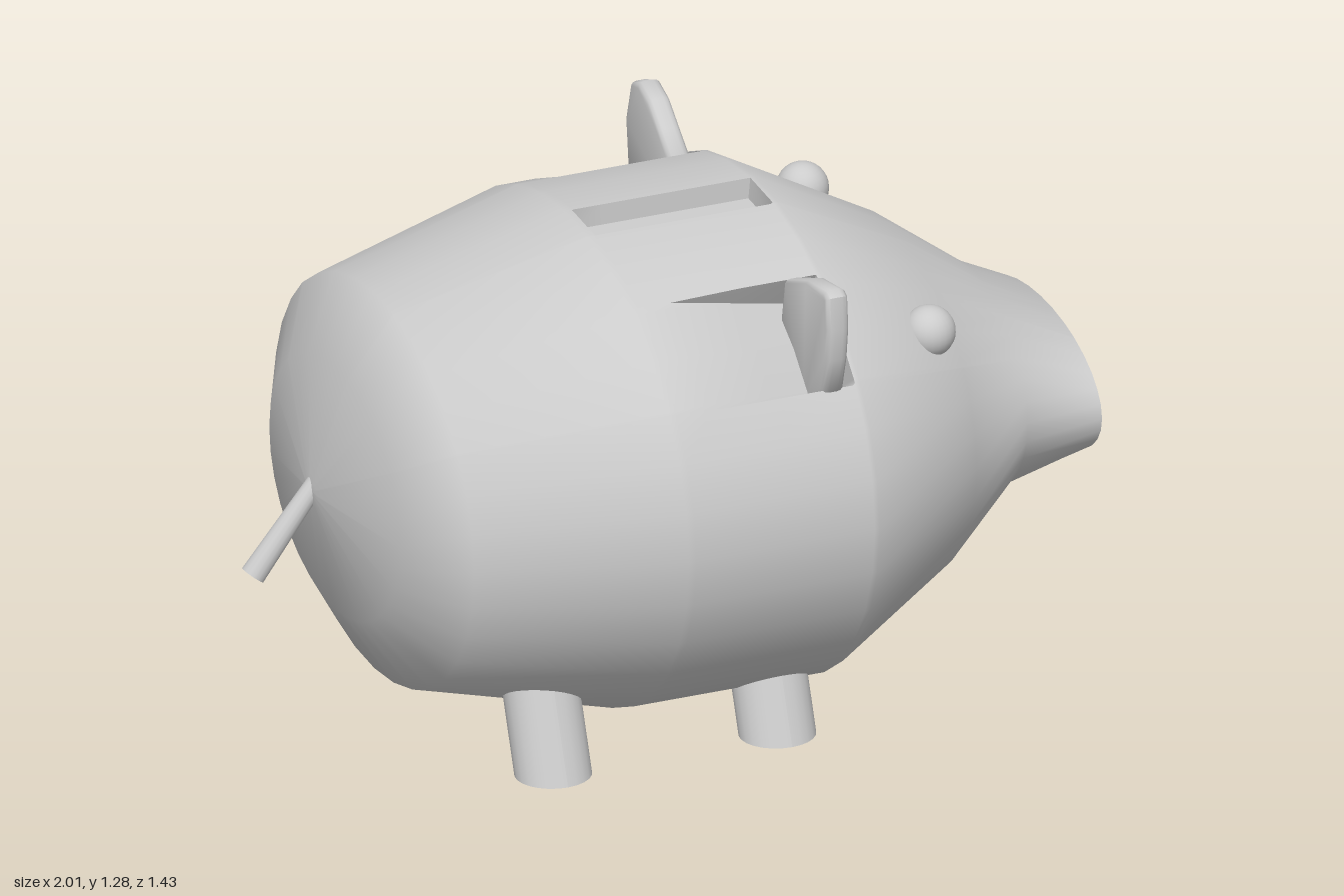
import * as THREE from 'three';
import { toCreasedNormals } from 'three/addons/utils/BufferGeometryUtils.js';

const material = new THREE.MeshStandardMaterial({ color: 0xcccccc, side: THREE.DoubleSide });

function addMesh(group, name, geometry) {
  const mesh = new THREE.Mesh(geometry, material);
  mesh.name = name;
  group.add(mesh);
  return mesh;
}

// Recesses in the body: angle range from the top, x range, depth at each end
const DENTS = [
  { a0: 0, a1: 0.183, x0: -0.18, x1: 0.265, d0: 0.05, d1: 0.05 },
  { a0: 0.56, a1: 1.0, x0: -0.1, x1: 0.265, d0: 0, d1: 0.11 },
  { a0: -0.815, a1: -0.4, x0: -0.1, x1: 0.265, d0: 0, d1: 0.11 },
];

function dentDepth(x, a) {
  for (const d of DENTS) {
    if (a > d.a0 && a < d.a1 && x > d.x0 && x < d.x1) {
      return THREE.MathUtils.mapLinear(x, d.x0, d.x1, d.d0, d.d1);
    }
  }
  return 0;
}

// Elliptical rings along x: outer skin from tail to snout, then the hollow inside back again
function bodyGeometry() {
  const M = [0.615, 0.595, 0.717];
  const rings = [
    [-0.842, 0.62, 0.003, 0.003], [-0.84, 0.62, 0.022, 0.035],
    [-0.78, 0.615, 0.305, 0.375], [-0.68, 0.615, 0.475, 0.575],
    ...[-0.2, -0.182, -0.178, -0.1, 0.08, 0.262, 0.268, 0.28].map((x) => [x, ...M]),
    [0.62, 0.615, 0.415, 0.5], [0.83, 0.617, 0.258, 0.314],
    [1, 0.613, 0.166, 0.353],
    [1, 0.613, 0.144, 0.298], [0.83, 0.617, 0.205, 0.265],
    [0.6, 0.615, 0.34, 0.41], [0.28, 0.615, 0.46, 0.56], [-0.2, 0.615, 0.46, 0.56],
    [-0.62, 0.615, 0.4, 0.48], [-0.73, 0.615, 0.26, 0.32], [-0.78, 0.615, 0.003, 0.003],
  ];
  const skinRings = 15;

  const angles = [];
  for (let j = 0; j < 32; j++) angles.push(-Math.PI + (j * Math.PI) / 16);
  for (const d of DENTS) {
    for (const a of [d.a0, d.a1]) angles.push(a - 0.004, a + 0.004);
  }
  angles.sort((p, q) => p - q);

  const n = angles.length;
  const positions = [];
  const indices = [];
  rings.forEach(([x, cy, ry, rz], i) => {
    for (const a of angles) {
      const depth = i < skinRings ? dentDepth(x, a) : 0;
      positions.push(x, cy + (ry - depth) * Math.cos(a), (rz - depth) * Math.sin(a));
    }
    if (i === 0) return;
    for (let j = 0; j < n; j++) {
      const k = (j + 1) % n;
      const p = (i - 1) * n;
      const q = i * n;
      indices.push(p + j, p + k, q + j, p + k, q + k, q + j);
    }
  });
  const geometry = new THREE.BufferGeometry();
  geometry.setAttribute('position', new THREE.Float32BufferAttribute(positions, 3));
  geometry.setIndex(indices);
  return toCreasedNormals(geometry, 1.0);
}

// Thin pointed plate standing across the body, outlined in (z, y)
function earGeometry(outline) {
  const shape = new THREE.Shape(outline.map(([z, y]) => new THREE.Vector2(z, y)));
  const geometry = new THREE.ExtrudeGeometry(shape, {
    depth: 0.02, bevelEnabled: true, bevelThickness: 0.018,
    bevelSize: 0.015, bevelOffset: -0.015, bevelSegments: 3,
  });
  geometry.rotateY(-Math.PI / 2).translate(0.22, 0, 0);
  return toCreasedNormals(geometry, 0.9);
}

// Short peg sheared outward towards the ground
function legGeometry(side) {
  const geometry = new THREE.CylinderGeometry(0.091, 0.091, 0.36, 24).translate(0, 0.18, 0);
  const p = geometry.attributes.position;
  for (let i = 0; i < p.count; i++) {
    p.setZ(i, p.getZ(i) * 0.94 - side * 0.38 * p.getY(i));
  }
  geometry.computeVertexNormals();
  return geometry;
}

export function createModel() {
  const pig = new THREE.Group();
  pig.name = 'piggyBank';

  addMesh(pig, 'body', bodyGeometry());

  // Ears
  addMesh(pig, 'leftEar', earGeometry([
    [0.5, 0.85], [0.61, 0.93], [0.635, 1.02], [0.645, 1.1], [0.638, 1.18],
    [0.617, 1.192], [0.51, 1.175], [0.385, 1.125], [0.36, 1.0],
  ]));
  addMesh(pig, 'rightEar', earGeometry([
    [-0.27, 1.05], [-0.275, 1.165], [-0.33, 1.21], [-0.39, 1.26], [-0.45, 1.282],
    [-0.5, 1.262], [-0.53, 1.16], [-0.515, 1.03], [-0.42, 0.93],
  ]));

  // Eyes
  const eye = new THREE.SphereGeometry(0.062, 24, 16);
  addMesh(pig, 'leftEye', eye).position.set(0.55, 0.93, 0.385);
  addMesh(pig, 'rightEye', eye).position.set(0.535, 1.01, -0.31);

  // Legs
  for (const side of [1, -1]) {
    const geometry = legGeometry(side);
    const label = side > 0 ? 'left' : 'right';
    const z = side > 0 ? 0.425 : -0.462;
    addMesh(pig, label + 'FrontLeg', geometry).position.set(0.15, 0, z);
    addMesh(pig, label + 'BackLeg', geometry).position.set(-0.415, 0, z);
  }

  // Tail
  const from = new THREE.Vector3(-0.8, 0.66, -0.01);
  const to = new THREE.Vector3(-0.982, 0.425, -0.01);
  const along = to.clone().sub(from);
  const tail = addMesh(pig, 'tail', new THREE.CylinderGeometry(0.03, 0.022, along.length(), 16));
  tail.position.copy(from).add(to).multiplyScalar(0.5);
  tail.quaternion.setFromUnitVectors(new THREE.Vector3(0, 1, 0), along.normalize());

  return pig;
}
